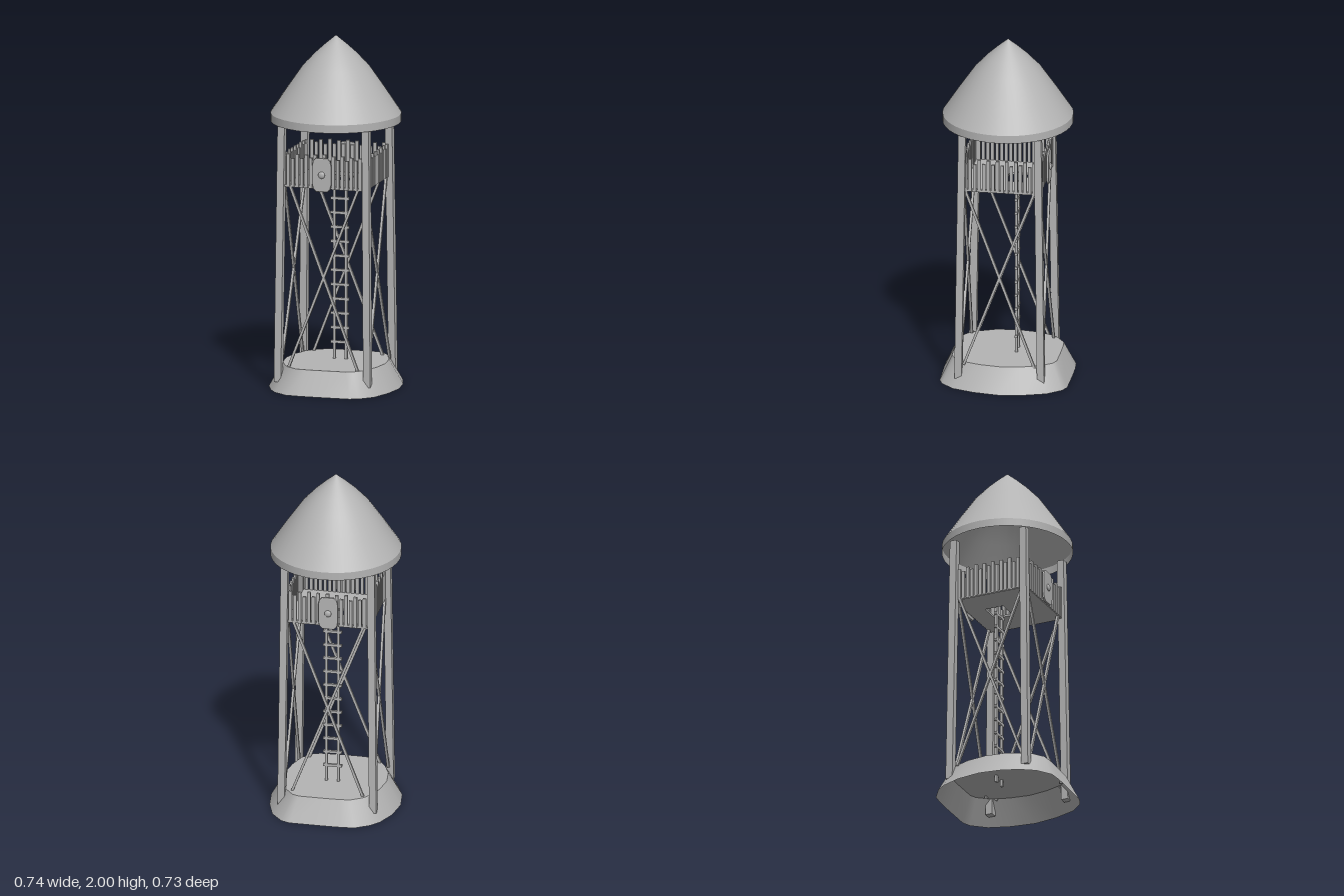
import * as THREE from 'three';

const stone = new THREE.MeshStandardMaterial({ color: 0xb4b4b4, side: THREE.DoubleSide });
stone.name = 'plain grey';

function add(parent, geometry, name) {
  const mesh = new THREE.Mesh(geometry, stone);
  mesh.name = name;
  parent.add(mesh);
  return mesh;
}

function group(parent, name) {
  const g = new THREE.Group();
  g.name = name;
  parent.add(g);
  return g;
}

// Square bar between two points
function bar(parent, a, b, width, name) {
  const from = new THREE.Vector3(...a), to = new THREE.Vector3(...b);
  const dir = to.clone().sub(from);
  const mesh = add(parent, new THREE.BoxGeometry(width, dir.length(), width), name);
  mesh.position.copy(from).add(to).multiplyScalar(0.5);
  mesh.quaternion.setFromUnitVectors(new THREE.Vector3(0, 1, 0), dir.normalize());
  return mesh;
}

// Upright post whose ends stay level while it leans
function leaningPost(parent, a, b, width, name) {
  const geo = new THREE.BoxGeometry(width, 1, width);
  const p = geo.attributes.position;
  for (let i = 0; i < p.count; i++) {
    const end = p.getY(i) > 0 ? b : a;
    p.setXYZ(i, p.getX(i) + end[0], end[1], p.getZ(i) + end[2]);
  }
  geo.computeVertexNormals();
  return add(parent, geo, name);
}

// Hollow earth mound: rounded-square skirt and flat top
function buildMound(parent) {
  const mound = group(parent, 'mound');
  const outline = [
    [0.37, 0], [0.35, 0.14], [0.308, 0.265], [0.24, 0.337], [0.19, 0.357], [0, 0.365], [-0.1, 0.366],
    [-0.18, 0.36], [-0.262, 0.305], [-0.305, 0.24], [-0.35, 0.14], [-0.37, 0], [-0.35, -0.14],
    [-0.305, -0.25], [-0.262, -0.305], [-0.18, -0.358], [-0.1, -0.365], [0, -0.367],
    [0.19, -0.366], [0.24, -0.345], [0.308, -0.265], [0.35, -0.14]];
  const n = outline.length, height = 0.14, sx = 0.785, sz = 0.82;
  const verts = [], index = [];
  outline.forEach(([x, z], i) => {
    verts.push(x, 0, z, x * sx, height, z * sz);
    const a = 2 * i, b = 2 * ((i + 1) % n);
    index.push(a, a + 1, b, b, a + 1, b + 1);
  });
  const skirt = new THREE.BufferGeometry();
  skirt.setAttribute('position', new THREE.Float32BufferAttribute(verts, 3));
  skirt.setIndex(index);
  skirt.computeVertexNormals();
  add(mound, skirt, 'mound skirt');
  const top = new THREE.Shape(outline.map(([x, z]) => new THREE.Vector2(x * sx, -z * sz)));
  add(mound, new THREE.ShapeGeometry(top).rotateX(-Math.PI / 2).translate(0, height, 0), 'mound top');
}

// Four leaning legs and a cross brace on each side
function buildFrame(parent) {
  const frame = group(parent, 'frame');
  for (const x of [-1, 1]) for (const z of [-1, 1]) {
    leaningPost(frame, [x * 0.262, 0.05, z * 0.234 + 0.005], [x * 0.247, 1.52, z * 0.214 + 0.005], 0.041, 'leg');
  }
  for (const s of [-1, 1]) for (const d of [-1, 1]) {
    bar(frame, [-d * 0.205, 0.13, s * 0.232 + 0.005], [d * 0.2, 1.17, s * 0.212 + 0.005], 0.014, 'frontBackBrace');
    bar(frame, [s * 0.255, 0.13, -d * 0.2 + 0.01], [s * 0.235, 1.17, d * 0.195 + 0.01], 0.014, 'sideBrace');
  }
}

// Floor with a ladder opening
function buildPlatform(parent) {
  const rect = (shape, x0, y0, x1, y1) =>
    shape.moveTo(x0, y0).lineTo(x1, y0).lineTo(x1, y1).lineTo(x0, y1).closePath();
  const floor = rect(new THREE.Shape(), -0.235, -0.225, 0.24, 0.215);
  floor.holes.push(rect(new THREE.Path(), -0.06, 0, 0.075, 0.11));
  const geo = new THREE.ExtrudeGeometry(floor, { depth: 0.012, bevelEnabled: false });
  add(parent, geo.rotateX(-Math.PI / 2).translate(0, 1.162, 0), 'platform');
}

// Ragged palisade around the platform
function buildFence(parent) {
  const fence = group(parent, 'fence');
  let seed = 7;
  const random = () => (seed = (seed * 16807) % 2147483647) / 2147483647;
  const side = (count, place) => {
    for (let i = 0; i < count; i++) {
      const top = (i % 2 ? 1.325 : 1.348) + random() * 0.012;
      const h = top - 1.165;
      const picket = add(fence, new THREE.BoxGeometry(0.019, h, 0.014), 'picket');
      place(picket, (i + 0.5) / count - 0.5);
      picket.position.y = 1.165 + h / 2;
    }
  };
  for (const s of [-1, 1]) {
    side(17, (m, t) => m.position.set(t * 0.45 + 0.003, 0, s * 0.218 + 0.005));
    side(16, (m, t) => {
      m.position.set(s * 0.236 + 0.003, 0, t * 0.415 + 0.008);
      m.rotation.y = Math.PI / 2;
    });
  }
}

// Long shields with a round boss, hung front and back
function buildShield(parent, z, turn) {
  const shield = group(parent, 'shield');
  const w = 0.05, h = 0.09;
  const outline = new THREE.Shape([
    [0.6, -1], [0.88, -0.85], [1, -0.55], [1, 0.55], [0.88, 0.85], [0.6, 1],
    [-0.6, 1], [-0.88, 0.85], [-1, 0.55], [-1, -0.55], [-0.88, -0.85], [-0.6, -1],
  ].map(([x, y]) => new THREE.Vector2(x * w, y * h)));
  add(shield, new THREE.ExtrudeGeometry(outline, {
    depth: 0.003, bevelThickness: 0.005, bevelSize: 0.007, bevelSegments: 2,
  }), 'shield board');
  const boss = add(shield, new THREE.SphereGeometry(0.02, 14, 8), 'shield boss');
  boss.scale.z = 0.5;
  boss.position.z = 0.008;
  shield.position.set(-0.004, 1.247, z);
  shield.rotation.y = turn;
}

// Ladder up to the opening
function buildLadder(parent) {
  const ladder = group(parent, 'ladder');
  const z = -0.055;
  for (const x of [-0.026, 0.043]) bar(ladder, [x, 0.1, z], [x, 1.19, z], 0.015, 'ladder rail');
  for (let i = 0; i < 12; i++) {
    const y = 0.235 + i * 0.082;
    bar(ladder, [-0.046, y, z], [0.06, y, z], 0.015, 'ladder rung');
  }
}

// Hollow pointed roof with an upright rim
function buildRoof(parent) {
  const roof = group(parent, 'roof');
  const lathe = (pts) => new THREE.LatheGeometry(pts.map(([r, y]) => new THREE.Vector2(r, y)), 40);
  add(roof, lathe([[0.367, 1.558], [0.28, 1.69], [0.19, 1.82], [0.12, 1.895], [0.06, 1.95], [0, 2]]), 'roof cone');
  add(roof, lathe([[0.367, 1.512], [0.367, 1.558]]), 'roof rim');
}

export function createModel() {
  const tower = new THREE.Group();
  tower.name = 'watchtower';
  buildMound(tower);
  buildFrame(tower);
  buildPlatform(tower);
  buildFence(tower);
  buildShield(tower, 0.247, 0);
  buildShield(tower, -0.23, Math.PI);
  buildLadder(tower);
  buildRoof(tower);
  return tower;
}
